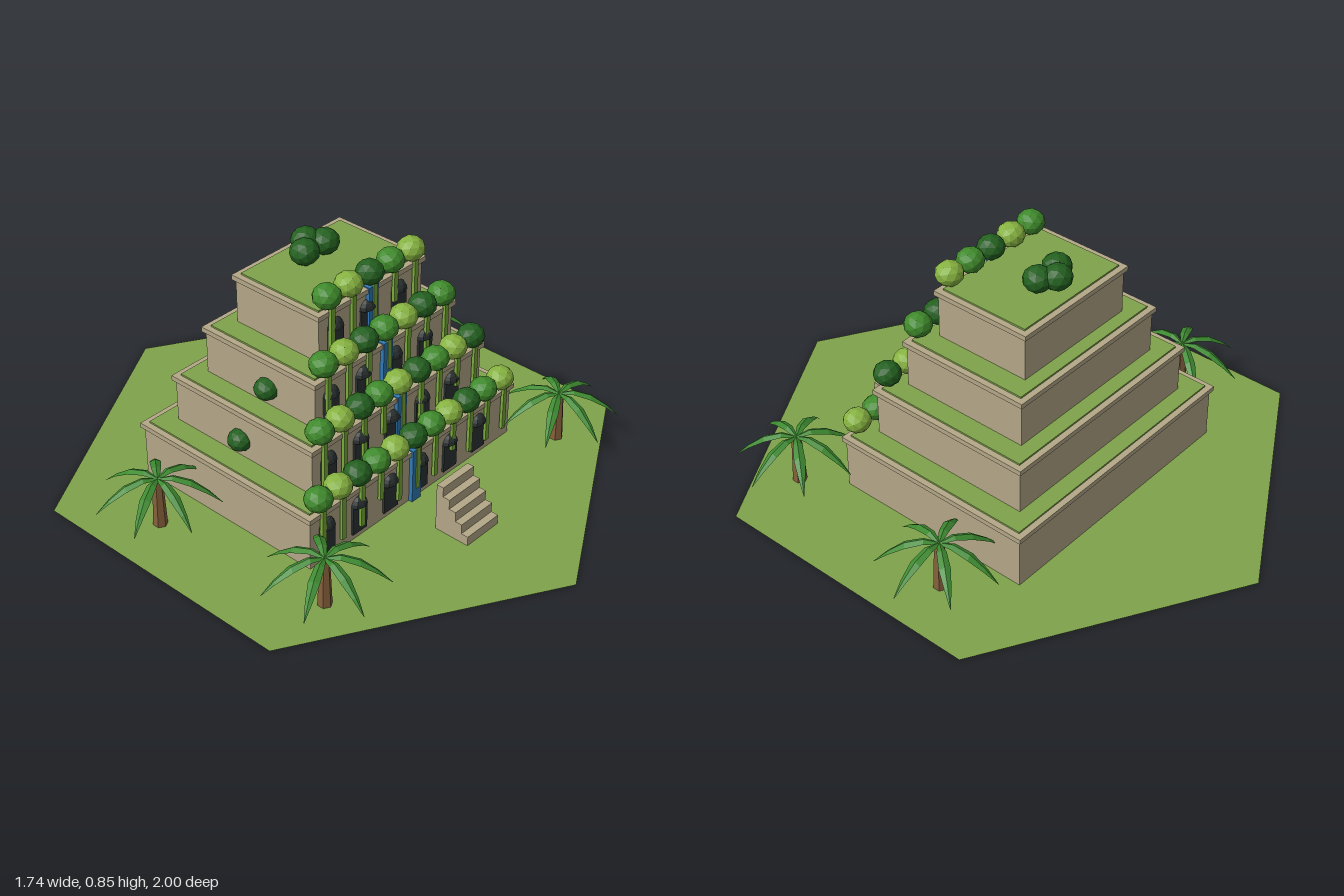
import * as THREE from 'three';

const mat = (name, color, side = THREE.FrontSide) => {
  const m = new THREE.MeshStandardMaterial({ color, side, flatShading: true });
  m.name = name;
  return m;
};

export function createModel() {
  const M = {
    grass: mat('grass', 0x7fa34b, THREE.DoubleSide),
    stone: mat('stone', 0xb5a888),
    door: mat('dark opening', 0x2c3232),
    water: mat('water', 0x2f7ab5),
    dark: mat('dark foliage', 0x23601f),
    mid: mat('green foliage', 0x3f8a2b),
    light: mat('light foliage', 0x86b240),
    vine: mat('vine', 0x79ab3a),
    trunk: mat('trunk', 0x85603c),
    frond: mat('palm frond', 0x3d8a30, THREE.DoubleSide),
  };
  const model = new THREE.Group();
  model.name = 'terracedGarden';

  const add = (parent, name, geo, material, x = 0, y = 0, z = 0) => {
    const mesh = new THREE.Mesh(geo, material);
    mesh.name = name;
    mesh.position.set(x, y, z);
    parent.add(mesh);
    return mesh;
  };
  // Box given by its centre in x and z and its bottom and top in y
  const box = (parent, name, material, w, d, x, y0, y1, z) =>
    add(parent, name, new THREE.BoxGeometry(w, y1 - y0, d), material, x, (y0 + y1) / 2, z);

  // Hexagonal lawn
  const lawn = add(model, 'lawn', new THREE.CircleGeometry(1, 6, Math.PI / 2), M.grass, 0, 0.001, 0);
  lawn.rotation.x = -Math.PI / 2;

  const bushGeo = new THREE.IcosahedronGeometry(0.049, 1);
  const bush = (parent, material, x, y, z, s = 1) => {
    const b = add(parent, 'bush', bushGeo, material, x, y, z);
    b.scale.set(s, s * 0.88, s);
    b.rotation.y = x * 17 + y * 5;
  };
  const domeGeo = new THREE.SphereGeometry(0.035, 8, 4, 0, Math.PI * 2, 0, Math.PI / 2);

  // Terraces: half width, front and back z, bottom, top, openings and bushes
  const tiers = [
    { hw: 0.505, f: 0.332, b: -0.428, y0: 0, y1: 0.205, doors: 6, door0: -0.433, sill: 0.025, arch: 0.167, n: 11, bx: 0.456 },
    { hw: 0.418, f: 0.262, b: -0.355, y0: 0.205, y1: 0.387, doors: 5, door0: -0.349, sill: 0.215, arch: 0.345, n: 9, bx: 0.373 },
    { hw: 0.334, f: 0.198, b: -0.289, y0: 0.387, y1: 0.567, doors: 4, door0: -0.267, sill: 0.397, arch: 0.525, n: 7, bx: 0.286 },
    { hw: 0.247, f: 0.134, b: -0.230, y0: 0.567, y1: 0.75, doors: 3, door0: -0.177, sill: 0.577, arch: 0.71, n: 5, bx: 0.2 },
  ];
  const cycle = [M.mid, M.light, M.dark];

  tiers.forEach((t, i) => {
    const g = new THREE.Group();
    g.name = 'terrace' + (i + 1);
    model.add(g);
    const depth = t.f - t.b, cz = (t.f + t.b) / 2, cx = -0.004;
    box(g, 'wall', M.stone, t.hw * 2, depth, cx, t.y0, t.y1 - 0.01, cz);
    box(g, 'rim', M.stone, t.hw * 2 + 0.02, depth + 0.02, cx, t.y1 - 0.018, t.y1, cz);
    box(g, 'terraceGrass', M.grass, t.hw * 2 - 0.024, depth - 0.024, cx, t.y1 - 0.005, t.y1 + 0.006, cz);

    // Arched openings
    for (let k = 0; k < t.doors; k++) {
      const x = t.door0 + k * 0.152;
      box(g, 'doorway', M.door, 0.068, 0.016, x, t.sill, t.arch - 0.034, t.f);
      add(g, 'doorwayArch', domeGeo, M.door, x, t.arch - 0.035, t.f).scale.z = 0.75;
    }
    // Waterfall strip
    box(g, 'waterfall', M.water, 0.044, 0.03, -0.008, t.y0, t.y1 + 0.004, t.f);

    // Bushes along the front edge with hanging vines
    for (let k = 0; k < t.n; k++) {
      const x = -0.004 - t.bx + (2 * t.bx * k) / (t.n - 1);
      bush(g, cycle[k % 3], x, t.y1 + 0.046, t.f - 0.008);
      const drop = k % 4 === 3 ? 0.1 : 0.155;
      box(g, 'vine', M.vine, 0.018, 0.012, x, t.y1 - drop, t.y1 + 0.03, t.f + 0.013);
    }
  });

  // Roof clump and two bushes against the right-hand walls
  const extras = new THREE.Group();
  extras.name = 'extraBushes';
  model.add(extras);
  bush(extras, M.dark, -0.055, 0.798, -0.11, 1.05);
  bush(extras, M.dark, 0.04, 0.798, -0.11, 1.05);
  bush(extras, M.dark, -0.003, 0.803, -0.155, 1.05);
  bush(extras, M.dark, -0.425, 0.275, -0.055, 0.9);
  bush(extras, M.dark, -0.343, 0.455, -0.01, 0.9);

  // Front steps, rising towards the building
  const steps = new THREE.Group();
  steps.name = 'steps';
  model.add(steps);
  for (let k = 0; k < 5; k++) {
    const z = 0.627 - 0.027 * (k + 0.5);
    box(steps, 'step', M.stone, 0.156, 0.027, -0.004, 0, 0.036 * (k + 1), z);
  }

  // Drooping frond: a ridge with two lower edges, tapering to a tip
  const sections = [[0, 0, 0.006], [0.05, 0.012, 0.016], [0.11, -0.004, 0.019], [0.165, -0.042, 0.011], [0.21, -0.085, 0.001]];
  const pos = [], idx = [];
  sections.forEach(([r, y, w], i) => {
    pos.push(r, y - w * 0.5, -w, r, y, 0, r, y - w * 0.5, w);
    if (i === 0) return;
    const a = (i - 1) * 3, b = i * 3;
    for (let k = 0; k < 2; k++) idx.push(a + k, a + k + 1, b + k, b + k, a + k + 1, b + k + 1);
  });
  const frondGeo = new THREE.BufferGeometry();
  frondGeo.setAttribute('position', new THREE.Float32BufferAttribute(pos, 3));
  frondGeo.setIndex(idx);
  frondGeo.computeVertexNormals();
  const trunkGeo = new THREE.CylinderGeometry(0.017, 0.025, 0.185, 6);

  // Palms at the four corners
  [[-0.672, -0.19], [0.666, -0.24], [-0.597, 0.477], [0.592, 0.477]].forEach(([x, z]) => {
    const palm = new THREE.Group();
    palm.name = 'palm';
    palm.position.set(x, 0, z);
    model.add(palm);
    add(palm, 'palmTrunk', trunkGeo, M.trunk, 0, 0.0925, 0);
    for (let k = 0; k < 7; k++) {
      add(palm, 'palmFrond', frondGeo, M.frond, 0, 0.186, 0).rotation.y = (-k * Math.PI * 2) / 7;
    }
  });

  return model;
}
